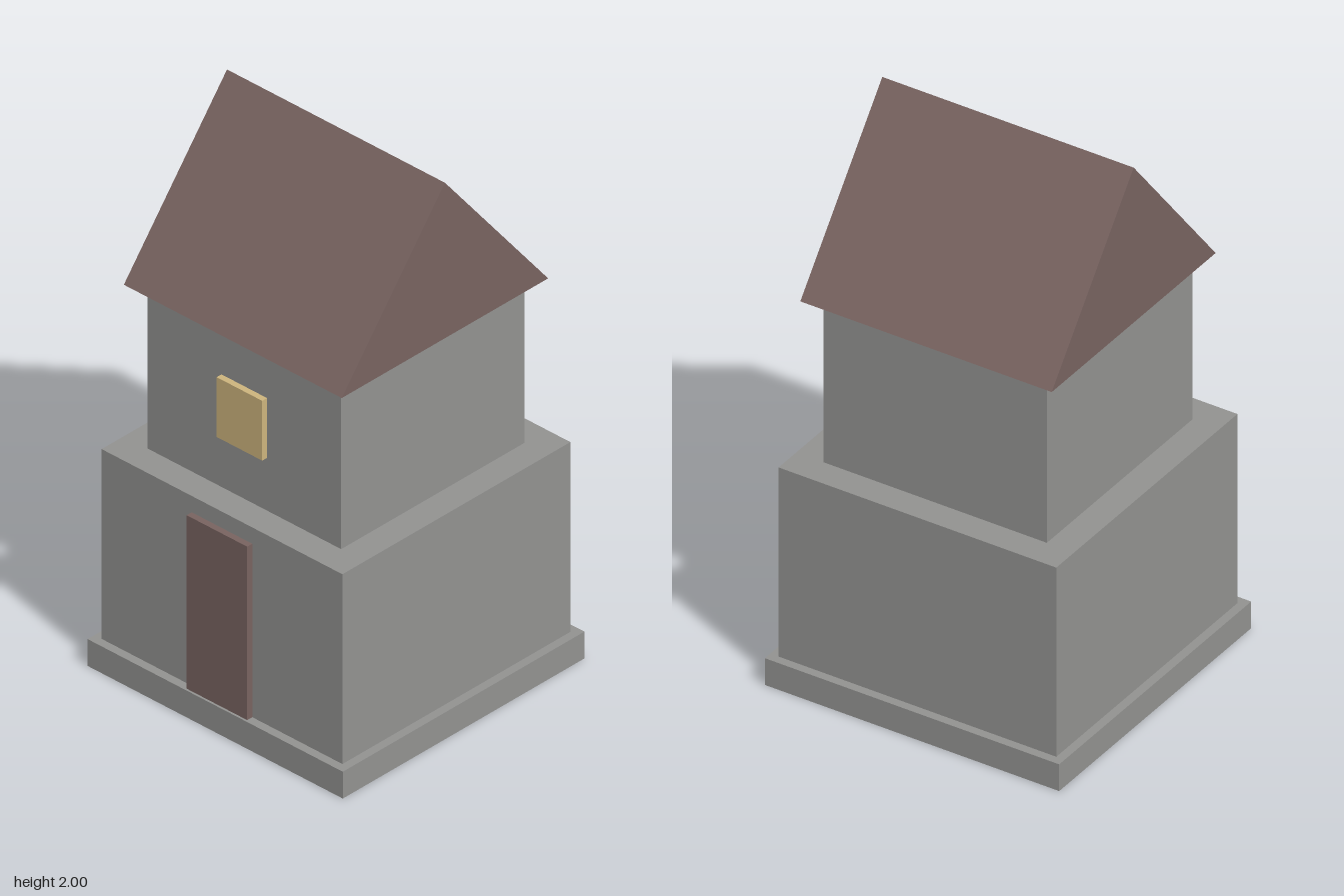
import * as THREE from 'three';

export function createModel() {
  const model = new THREE.Group();
  model.name = 'towerHouse';

  const material = (name, color) => {
    const m = new THREE.MeshStandardMaterial({ color });
    m.name = name;
    return m;
  };
  const stone = material('grey stone', 0x929290);
  const brown = material('brown wood', 0x786360);
  const glow = material('warm window', 0xcdb47d);

  const add = (name, geometry, mat, x, y, z) => {
    const mesh = new THREE.Mesh(geometry, mat);
    mesh.name = name;
    mesh.position.set(x, y, z);
    model.add(mesh);
  };
  // Box standing on y = bottom, centred on x = 0
  const block = (name, mat, w, bottom, top, d, z = 0) =>
    add(name, new THREE.BoxGeometry(w, top - bottom, d), mat, 0, (bottom + top) / 2, z);

  // Stacked stone body
  block('plinth', stone, 1.096, 0, 0.1, 1.096);
  block('lowerStorey', stone, 1.034, 0.1, 0.808, 1.034);
  block('upperStorey', stone, 0.832, 0.808, 1.42, 0.832);

  // Door and window stand slightly proud of the front walls
  block('door', brown, 0.26, 0.1, 0.747, 0.023, 0.5285);
  block('window', glow, 0.196, 1.005, 1.228, 0.022, 0.427);

  // Gable roof: triangle extruded along x, ridge running left to right
  const half = 0.468;
  const gable = new THREE.Shape();
  gable.moveTo(-half, 0);
  gable.lineTo(half, 0);
  gable.lineTo(0, 0.58);
  gable.closePath();
  const roof = new THREE.ExtrudeGeometry(gable, { depth: 2 * half, bevelEnabled: false });
  roof.translate(0, 0, -half);
  roof.rotateY(Math.PI / 2);
  add('roof', roof, brown, 0, 1.42, 0);

  return model;
}
